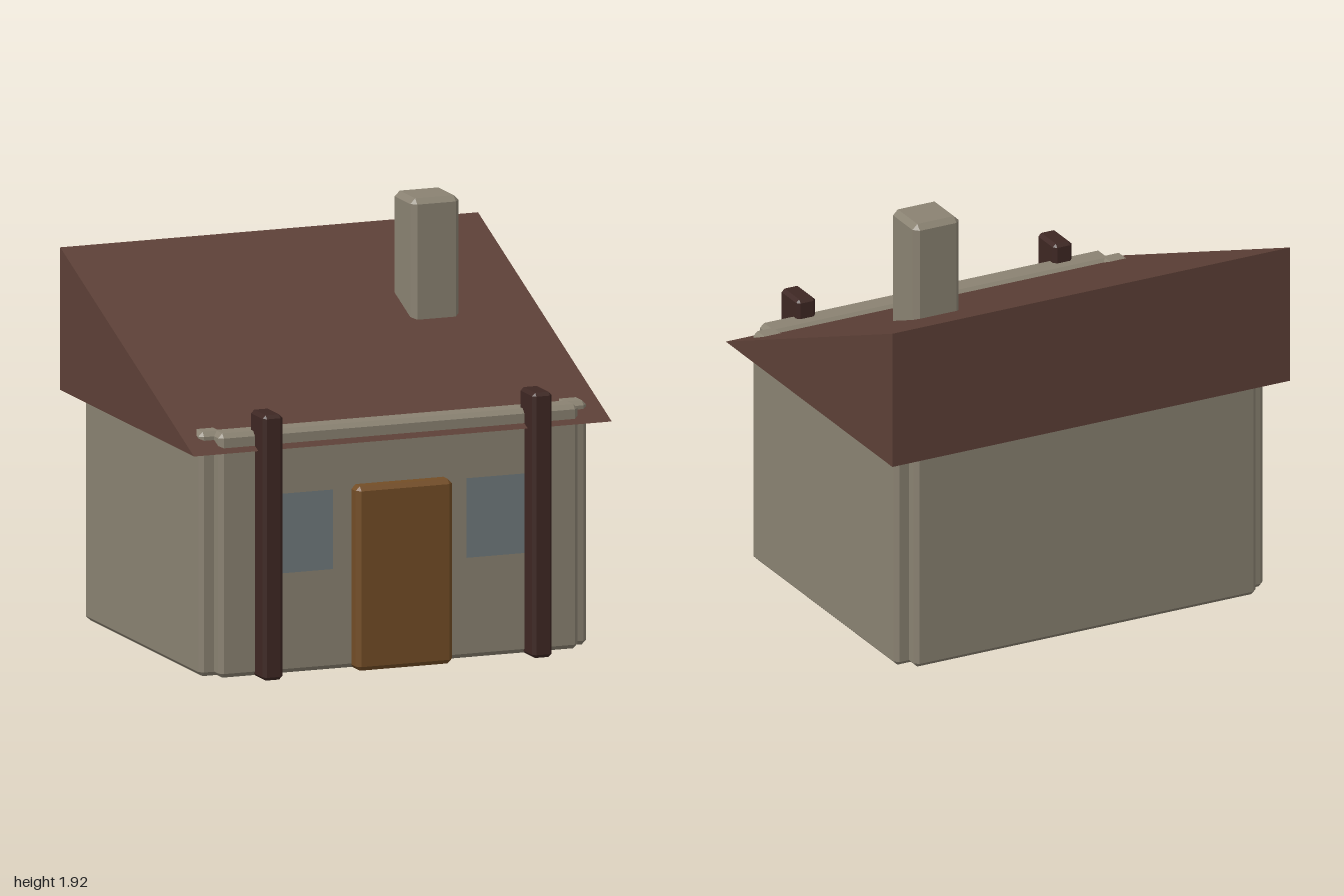
import * as THREE from 'three';
import { ConvexGeometry } from 'three/addons/geometries/ConvexGeometry.js';

const material = (color) => new THREE.MeshStandardMaterial({ color, flatShading: true });

// Box between two corners with all edges chamfered by c
function chamferBox([x0, y0, z0], [x1, y1, z1], c) {
  const half = new THREE.Vector3(x1 - x0, y1 - y0, z1 - z0).multiplyScalar(0.5);
  const points = [];
  for (const sx of [-1, 1]) for (const sy of [-1, 1]) for (const sz of [-1, 1]) {
    for (let axis = 0; axis < 3; axis++) {
      const inset = [c, c, c];
      inset[axis] = 0;
      points.push(new THREE.Vector3(
        sx * (half.x - inset[0]), sy * (half.y - inset[1]), sz * (half.z - inset[2])));
    }
  }
  return new ConvexGeometry(points).translate((x0 + x1) / 2, (y0 + y1) / 2, (z0 + z1) / 2);
}

export function createModel() {
  const group = new THREE.Group();
  const stone = material(0x8a8272);
  const roofing = material(0x5d4037);
  const timber = material(0x3e2723);
  const doorWood = material(0x734d26);
  const glass = material(0x707a7c);
  glass.side = THREE.DoubleSide;

  const add = (name, geometry, mat) => {
    const mesh = new THREE.Mesh(geometry, mat);
    mesh.name = name;
    group.add(mesh);
    return mesh;
  };

  // Four wall slabs, open at top and bottom
  add('frontWall', chamferBox([-0.86, 0.005, 0.58], [0.86, 1.11, 0.705], 0.02), stone);
  add('backWall', chamferBox([-0.86, 0.005, -0.77], [0.86, 1.11, -0.645], 0.02), stone);

  // Mirrored side walls, posts and windows
  for (const [side, s] of [['left', 1], ['right', -1]]) {
    const wall = chamferBox([-0.06, 0.005, -0.71], [0.06, 1.11, 0.64], 0.02);
    add(side + 'Wall', wall, stone).position.x = s * 0.868;

    const post = chamferBox([-0.047, 0, 0.645], [0.047, 1.2, 0.81], 0.015);
    add(side + 'Post', post, timber).position.x = s * 0.645;

    add(side + 'Window', new THREE.PlaneGeometry(0.36, 0.36), glass)
      .position.set(s * 0.5, 0.64, 0.709);
  }

  add('door', chamferBox([-0.23, 0, 0.65], [0.23, 0.835, 0.775], 0.02), doorWood);

  // Solid wedge roof, sloping down to the front
  const profile = new THREE.Shape([
    new THREE.Vector2(-0.745, 1.03),
    new THREE.Vector2(0.815, 1.03),
    new THREE.Vector2(0.815, 1.675),
  ]);
  const roof = new THREE.ExtrudeGeometry(profile, { depth: 2, bevelEnabled: false });
  roof.translate(0, 0, -1).rotateY(Math.PI / 2);
  add('roof', roof, roofing);

  add('chimney', chamferBox([0.388, 1.12, -0.32], [0.62, 1.92, -0.09], 0.024), stone);

  return group;
}
